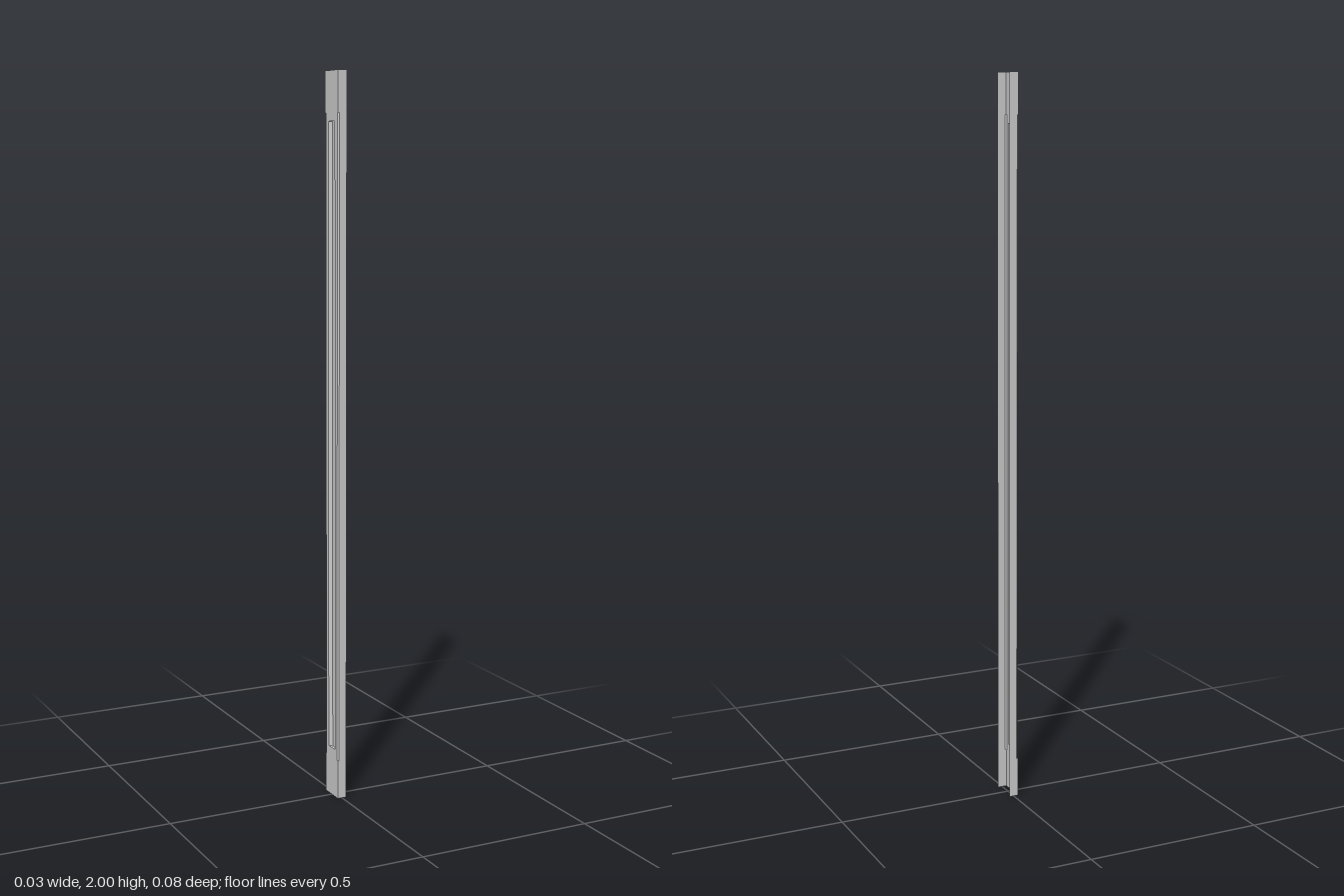
import * as THREE from 'three';

const H = 2, X = 0.013, Z = 0.038;      // height, half depth, half width
const C = 0.004, C0 = 0.11, C1 = 1.89;  // corner bevel size and its lower/upper ends
const R0 = 0.138, R1 = 1.868;           // lower/upper ends of the pressed rib
const RW = 0.019, RT = 0.010, RX = -0.005; // rib half width at base and crest, crest x

const material = new THREE.MeshStandardMaterial({
  color: 0xcccccc, side: THREE.DoubleSide, flatShading: true,
});

// Flat sheet from a 2D outline, placed in space by a rule (u, v) -> [x, y, z]
function sheet(name, outline, place, hole) {
  const points = (list) => list.map(([u, v]) => new THREE.Vector2(u, v));
  const shape = new THREE.Shape(points(outline));
  if (hole) shape.holes.push(new THREE.Path(points(hole)));
  const geometry = new THREE.ShapeGeometry(shape);
  const p = geometry.attributes.position;
  for (let i = 0; i < p.count; i++) p.setXYZ(i, ...place(p.getX(i), p.getY(i)));
  geometry.computeVertexNormals();
  const mesh = new THREE.Mesh(geometry, material);
  mesh.name = name;
  return mesh;
}

// Upright strip between two plan points [x, z]
function strip(name, [xa, za], [xb, zb], y0, y1) {
  return sheet(name, [[0, y0], [1, y0], [1, y1], [0, y1]],
    (t, y) => [xa + (xb - xa) * t, y, za + (zb - za) * t]);
}

export function createModel() {
  const model = new THREE.Group();
  model.name = 'channelRail';

  // Web: notched along both long edges, open where the rib is pressed out
  const w = Z - C;
  model.add(sheet('web',
    [[-Z, 0], [Z, 0], [Z, C0], [w, C0], [w, C1], [Z, C1],
      [Z, H], [-Z, H], [-Z, C1], [-w, C1], [-w, C0], [-Z, C0]],
    (z, y) => [-X, y, z],
    [[-RW, R0], [-RW, R1], [RW, R1], [RW, R0]]));

  for (const s of [1, -1]) {
    const side = s > 0 ? 'front' : 'back';

    // Flange with the matching notch beside the web
    model.add(sheet(side + 'Flange',
      [[-X, 0], [X, 0], [X, H], [-X, H], [-X, C1], [C - X, C1], [C - X, C0], [-X, C0]],
      (x, y) => [x, y, s * Z]));

    // Bevelled corner and its small end ledges
    model.add(strip(side + 'CornerBevel', [-X, s * w], [C - X, s * Z], C0, C1));
    for (const y of [C0, C1]) {
      model.add(sheet(side + 'BevelLedge', [[-X, w], [C - X, Z], [-X, Z]],
        (x, z) => [x, y, s * z]));
    }

    // Sloping side of the rib
    model.add(strip(side + 'RibSide', [-X, s * RW], [RX, s * RT], R0, R1));
  }

  // Rib crest and end caps
  model.add(strip('ribCrest', [RX, -RT], [RX, RT], R0, R1));
  for (const y of [R0, R1]) {
    model.add(sheet('ribEnd', [[-X, -RW], [RX, -RT], [RX, RT], [-X, RW]],
      (x, z) => [x, y, z]));
  }
  return model;
}
